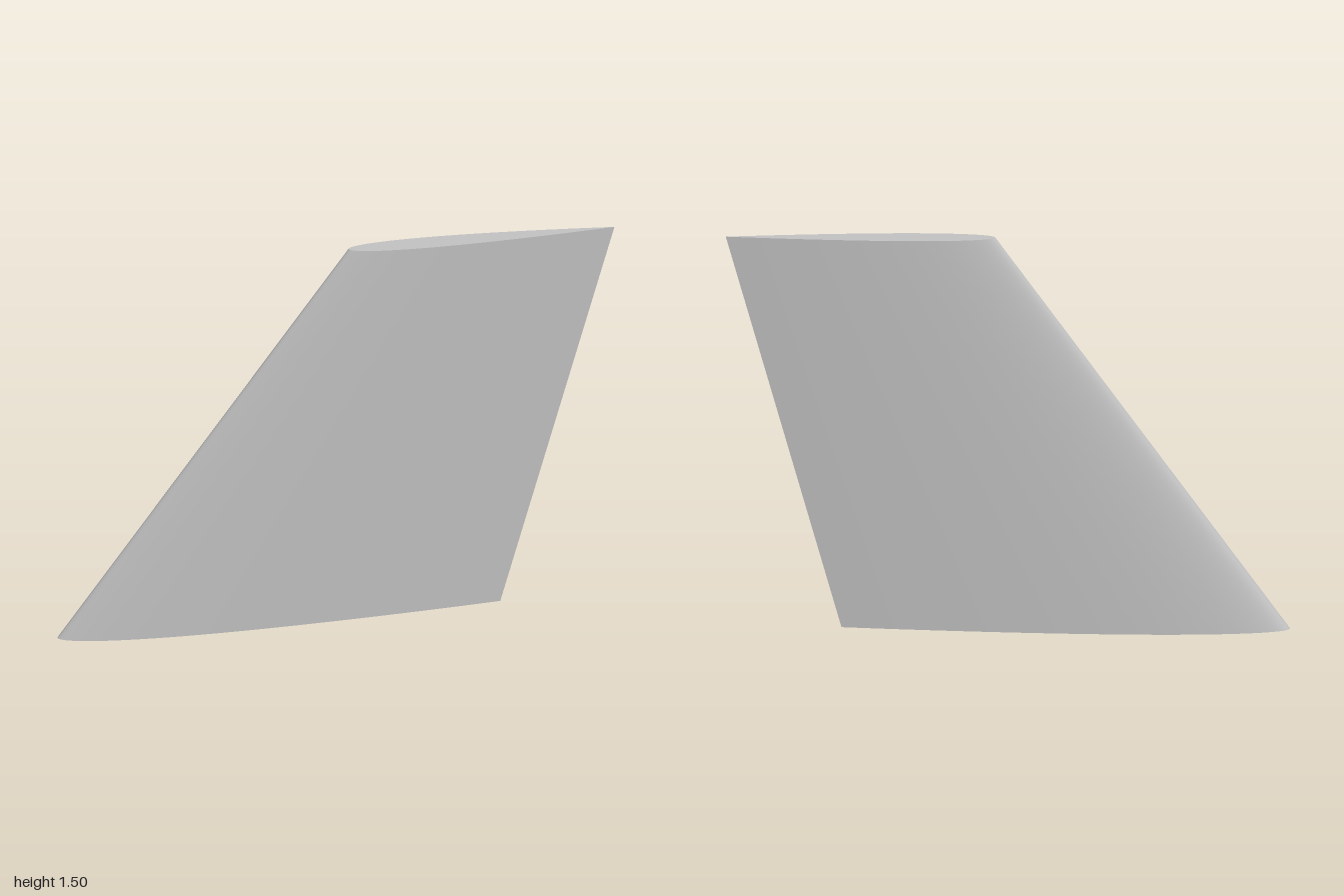
import * as THREE from 'three';

const HALF = 40; // steps along each side of the section
const THICKNESS = 0.078; // thickness relative to chord
const ROOT = { lead: -1, trail: 0.59, y: 0 };
const TIP = { lead: 0.045, trail: 1, y: 1.495 };

// Symmetric aerofoil half-thickness at t = 0 (nose) to 1 (tail)
function halfThickness(t) {
  return 5 * THICKNESS * (0.2969 * Math.sqrt(t) - 0.126 * t - 0.3516 * t ** 2 + 0.2843 * t ** 3 - 0.1036 * t ** 4);
}

// Ring from the tail along the +z side to the nose and back along the -z side
function section({ lead, trail, y }) {
  const chord = trail - lead;
  const ring = [];
  for (let i = 0; i <= 2 * HALF; i++) {
    const t = (1 + Math.cos((Math.PI * i) / HALF)) / 2;
    const side = i <= HALF ? 1 : -1;
    const z = i % HALF === 0 ? 0 : side * halfThickness(t) * chord;
    ring.push(lead + t * chord, y, z);
  }
  return ring;
}

function build(positions, indices) {
  const geometry = new THREE.BufferGeometry();
  geometry.setAttribute('position', new THREE.Float32BufferAttribute(positions, 3));
  geometry.setIndex(indices);
  geometry.computeVertexNormals();
  return geometry;
}

// Smooth skin between root and tip, left open at the tail for a sharp edge
function skinGeometry() {
  const n = 2 * HALF + 1;
  const indices = [];
  for (let i = 0; i < n - 1; i++) {
    indices.push(i, n + i, i + 1, i + 1, n + i, n + i + 1);
  }
  return build([...section(ROOT), ...section(TIP)], indices);
}

// Flat end cap fanned from the tail
function capGeometry(station, up) {
  const indices = [];
  for (let i = 1; i < 2 * HALF - 1; i++) {
    indices.push(0, up ? i + 1 : i, up ? i : i + 1);
  }
  return build(section(station), indices);
}

export function createModel() {
  const grey = new THREE.MeshStandardMaterial({ color: 0xc0c0c0 });
  grey.name = 'light grey';

  const fin = new THREE.Group();
  fin.name = 'sweptFin';
  const add = (name, geometry) => {
    const mesh = new THREE.Mesh(geometry, grey);
    mesh.name = name;
    fin.add(mesh);
  };
  add('finSkin', skinGeometry());
  add('rootCap', capGeometry(ROOT, false));
  add('tipCap', capGeometry(TIP, true));
  return fin;
}
